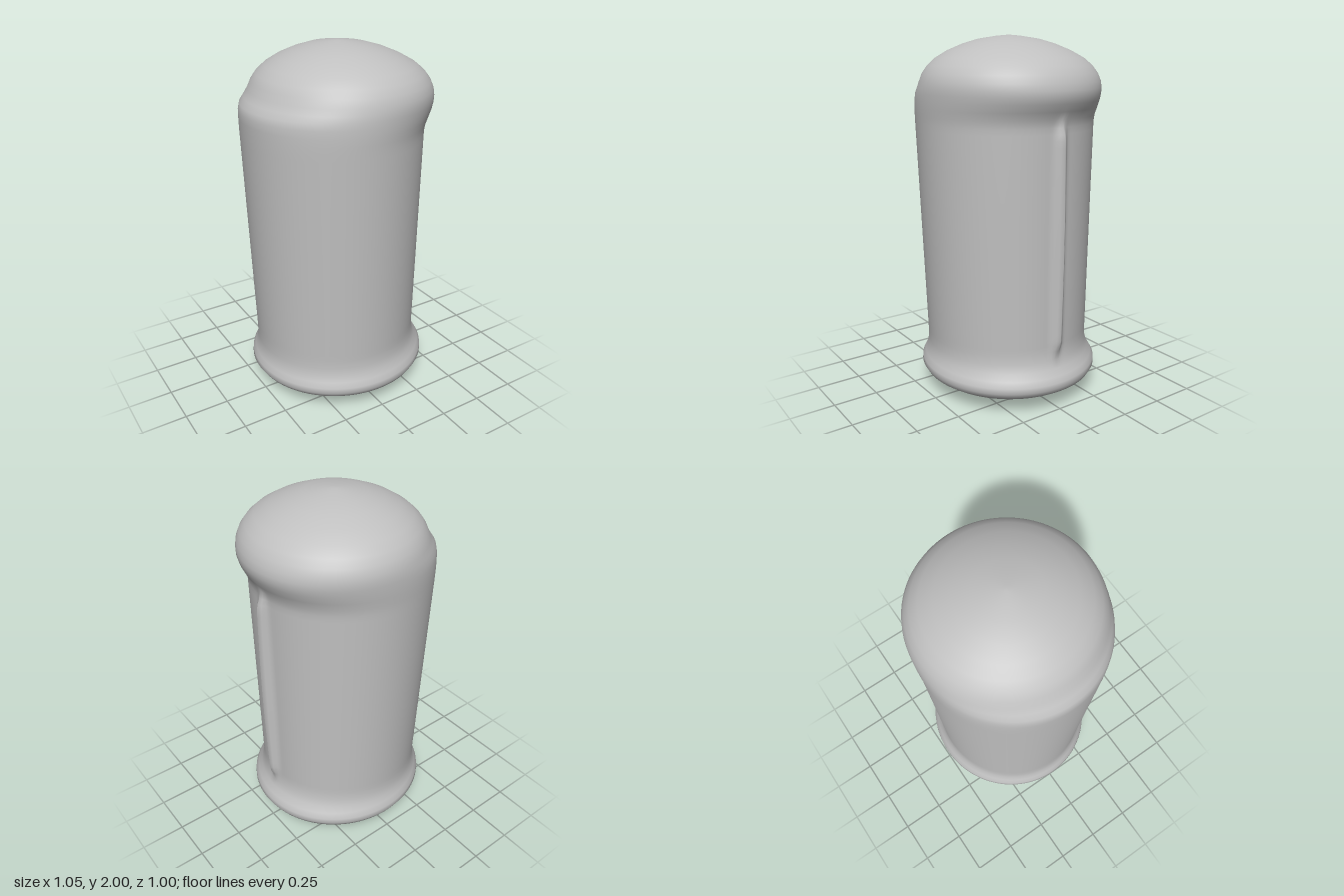
import * as THREE from 'three';

// Horizontal sections, bottom to top: [y, left edge, right edge, half depth]
const base = [
  [0.005, -0.02, 0.02, 0.02], [0.01, -0.15, 0.15, 0.14], [0.025, -0.27, 0.27, 0.26],
  [0.055, -0.40, 0.40, 0.385], [0.085, -0.465, 0.465, 0.45], [0.11, -0.50, 0.505, 0.485],
  [0.14, -0.52, 0.522, 0.502], [0.17, -0.517, 0.52, 0.5], [0.2, -0.502, 0.503, 0.483],
  [0.235, -0.489, 0.478, 0.467], [0.28, -0.485, 0.463, 0.458],
];
const wall = [[0.33, -0.485, 0.458, 0.458], [1.54, -0.527, 0.465, 0.495]];
const cap = [
  [1.58, -0.528, 0.472, 0.497], [1.62, -0.529, 0.492, 0.5], [1.66, -0.529, 0.512, 0.501],
  [1.695, -0.52, 0.522, 0.501], [1.725, -0.495, 0.522, 0.499], [1.76, -0.47, 0.515, 0.493],
  [1.8, -0.452, 0.497, 0.478], [1.84, -0.424, 0.466, 0.45], [1.88, -0.379, 0.417, 0.406],
  [1.92, -0.315, 0.343, 0.337], [1.955, -0.234, 0.258, 0.252], [1.98, -0.15, 0.17, 0.168],
  [1.995, -0.06, 0.08, 0.07], [2, -0.01, 0.03, 0.02],
];
const SEG = 180, WALL_STEPS = 36;

// Height of the narrow vertical rib on the +x side
function ribHeight(y, z) {
  const ends = THREE.MathUtils.smoothstep(y, 0.28, 0.39) * (1 - THREE.MathUtils.smoothstep(y, 1.48, 1.6));
  return (0.036 + 0.012 * Math.sin(Math.PI * (y - 0.3) / 1.25)) * ends * Math.exp(-((z / 0.026) ** 2));
}

export function createModel() {
  const group = new THREE.Group();
  const gray = new THREE.MeshStandardMaterial({ color: 0xc0c0c0 });
  gray.name = 'plain gray';

  // Fill the straight wall with evenly spaced sections
  const rows = [...base];
  for (let i = 0; i <= WALL_STEPS; i++) {
    rows.push(wall[0].map((v, k) => THREE.MathUtils.lerp(v, wall[1][k], i / WALL_STEPS)));
  }
  rows.push(...cap);

  // Loft the oval sections, then close both ends
  const pos = [], index = [];
  for (const [y, x0, x1, depth] of rows) {
    for (let j = 0; j < SEG; j++) {
      const a = j / SEG * Math.PI * 2;
      const z = -Math.sin(a) * depth;
      let x = (x0 + x1) / 2 + Math.cos(a) * (x1 - x0) / 2;
      if (Math.cos(a) > 0) x += ribHeight(y, z);
      pos.push(x, y, z);
    }
  }
  const bottom = pos.length / 3, top = bottom + 1, last = (rows.length - 1) * SEG;
  pos.push(0, 0, 0, 0.01, 2, 0);
  for (let j = 0; j < SEG; j++) index.push(bottom, (j + 1) % SEG, j);
  for (let i = 0; i < rows.length - 1; i++) {
    for (let j = 0; j < SEG; j++) {
      const k = (j + 1) % SEG;
      const a = i * SEG + j, b = i * SEG + k;
      index.push(a, b, b + SEG, a, b + SEG, a + SEG);
    }
  }
  for (let j = 0; j < SEG; j++) index.push(top, last + j, last + (j + 1) % SEG);

  const whole = new THREE.BufferGeometry();
  whole.setAttribute('position', new THREE.Float32BufferAttribute(pos, 3));
  whole.setIndex(index);
  whole.computeVertexNormals();

  // Split into parts that share the same smooth normals
  const baseEnd = SEG * 3 + base.length * SEG * 6;
  const wallEnd = baseEnd + (WALL_STEPS + 1) * SEG * 6;
  const parts = [['flaredBase', 0, baseEnd], ['ribbedWall', baseEnd, wallEnd], ['domedCap', wallEnd, index.length]];
  for (const [name, from, to] of parts) {
    const geometry = new THREE.BufferGeometry();
    geometry.setAttribute('position', whole.getAttribute('position'));
    geometry.setAttribute('normal', whole.getAttribute('normal'));
    geometry.setIndex(index.slice(from, to));
    const mesh = new THREE.Mesh(geometry, gray);
    mesh.name = name;
    group.add(mesh);
  }
  group.name = 'domedCanister';
  return group;
}
